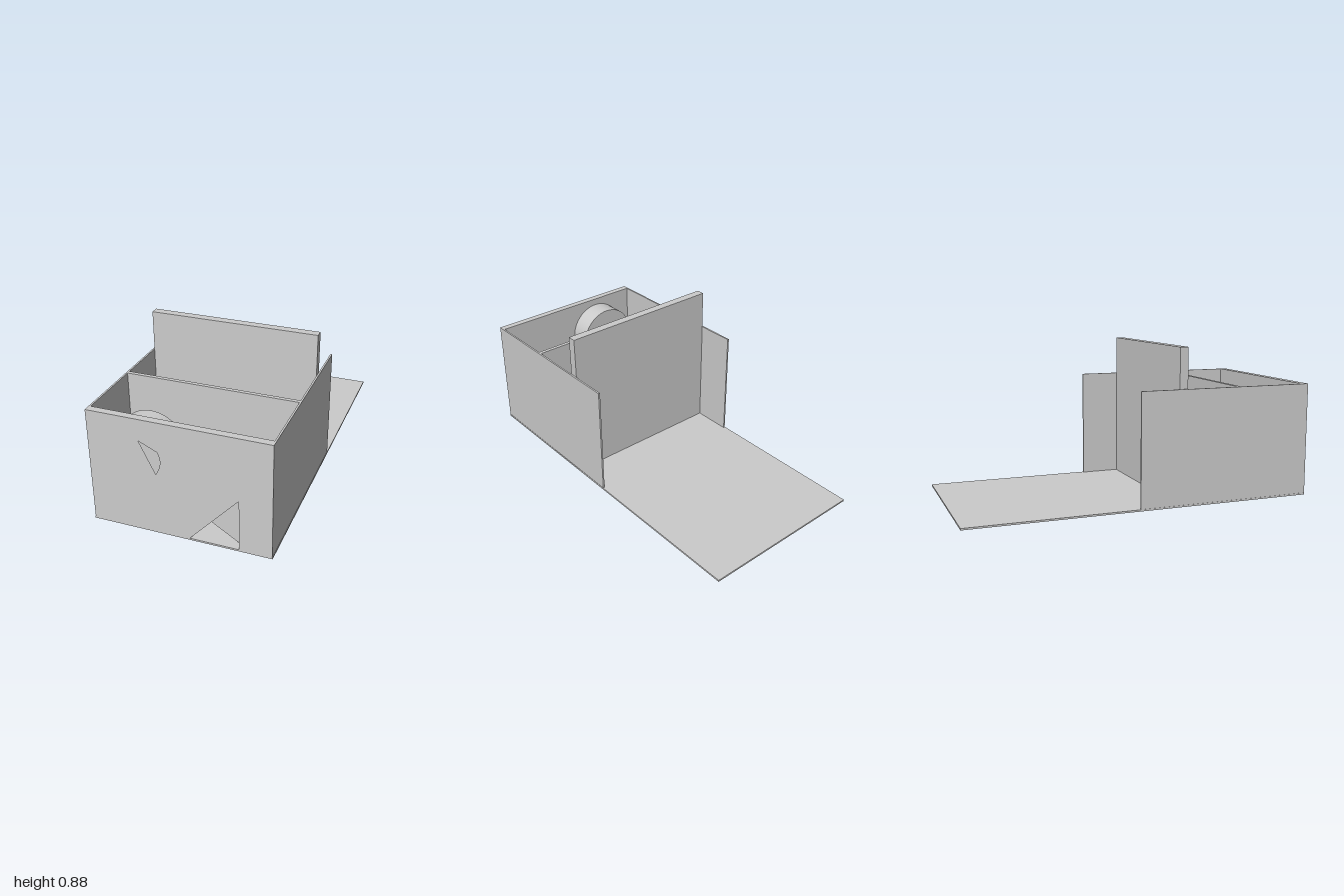
import * as THREE from 'three';

const material = new THREE.MeshStandardMaterial({ color: 0xcccccc, side: THREE.DoubleSide });

export function createModel() {
  const model = new THREE.Group();

  const add = (name, geometry, x = 0, y = 0, z = 0) => {
    const mesh = new THREE.Mesh(geometry, material);
    mesh.name = name;
    mesh.position.set(x, y, z);
    model.add(mesh);
    return mesh;
  };

  // Box given by its limits on each axis
  const block = (name, [x0, x1], [y0, y1], [z0, z1]) =>
    add(name, new THREE.BoxGeometry(x1 - x0, y1 - y0, z1 - z0),
      (x0 + x1) / 2, (y0 + y1) / 2, (z0 + z1) / 2);

  const floor = 0.01, top = 0.65;

  // Base board, side walls, partition and tall back panel
  block('base', [-0.49, 0.49], [0, floor], [-1, 1]);
  for (const [name, s] of [['leftWall', 1], ['rightWall', -1]]) {
    block(name, s > 0 ? [0.478, 0.488] : [-0.488, -0.478], [floor, top], [-0.03, 1]);
  }
  block('partition', [-0.478, 0.478], [floor, top], [0.55, 0.572]);
  block('backPanel', [-0.478, 0.474], [floor, 0.877], [0.197, 0.245]);

  // Hollow front wall: two skins with different openings, and a top strip
  const polygon = (points) => points.map(([x, y]) => new THREE.Vector2(x, y));

  // The doorway reaches the floor, so it is part of the outline
  const skin = (doorway) => new THREE.Shape(polygon([
    [-0.478, floor], ...doorway, [0.478, floor], [0.478, top], [-0.478, top],
  ]));

  const outer = skin([[0.05, floor], [0.315, 0.3], [0.315, floor]]);
  const slot = new THREE.Path();
  slot.moveTo(-0.205, 0.529);
  slot.lineTo(-0.108, 0.485);
  slot.quadraticCurveTo(-0.074, 0.428, -0.12, 0.355);
  slot.closePath();
  outer.holes.push(slot);
  add('frontWallOuterSkin', new THREE.ShapeGeometry(outer), 0, 0, 1);

  const inner = skin([[0.05, floor], [0.05, 0.174], [0.315, floor]]);
  add('frontWallInnerSkin', new THREE.ShapeGeometry(inner), 0, 0, 0.96).scale.x = 1;

  const strip = add('frontWallTop', new THREE.PlaneGeometry(0.956, 0.04), 0, top, 0.98);
  strip.rotation.x = -Math.PI / 2;

  // Wheel behind the slot
  const wheel = add('wheel', new THREE.CylinderGeometry(0.18, 0.18, 0.125, 48), -0.21, 0.43, 0.8965);
  wheel.rotation.x = Math.PI / 2;

  // Ball on the floor behind the doorway
  add('ball', new THREE.SphereGeometry(0.042, 32, 20), 0.235, floor + 0.042, 0.735);

  // Stairs along the partition, climbing towards the middle, as one solid
  const steps = 10, run = 0.036, rise = 0.036;
  const profile = [[0.02, floor], [0.38, floor]];
  for (let i = 0; i < steps; i++) {
    profile.push([0.38 - i * run, floor + (i + 1) * rise]);
    profile.push([0.38 - (i + 1) * run, floor + (i + 1) * rise]);
  }
  add('stairs', new THREE.ExtrudeGeometry(new THREE.Shape(polygon(profile)),
    { depth: 0.1, bevelEnabled: false }), 0, 0, 0.575);

  return model;
}
